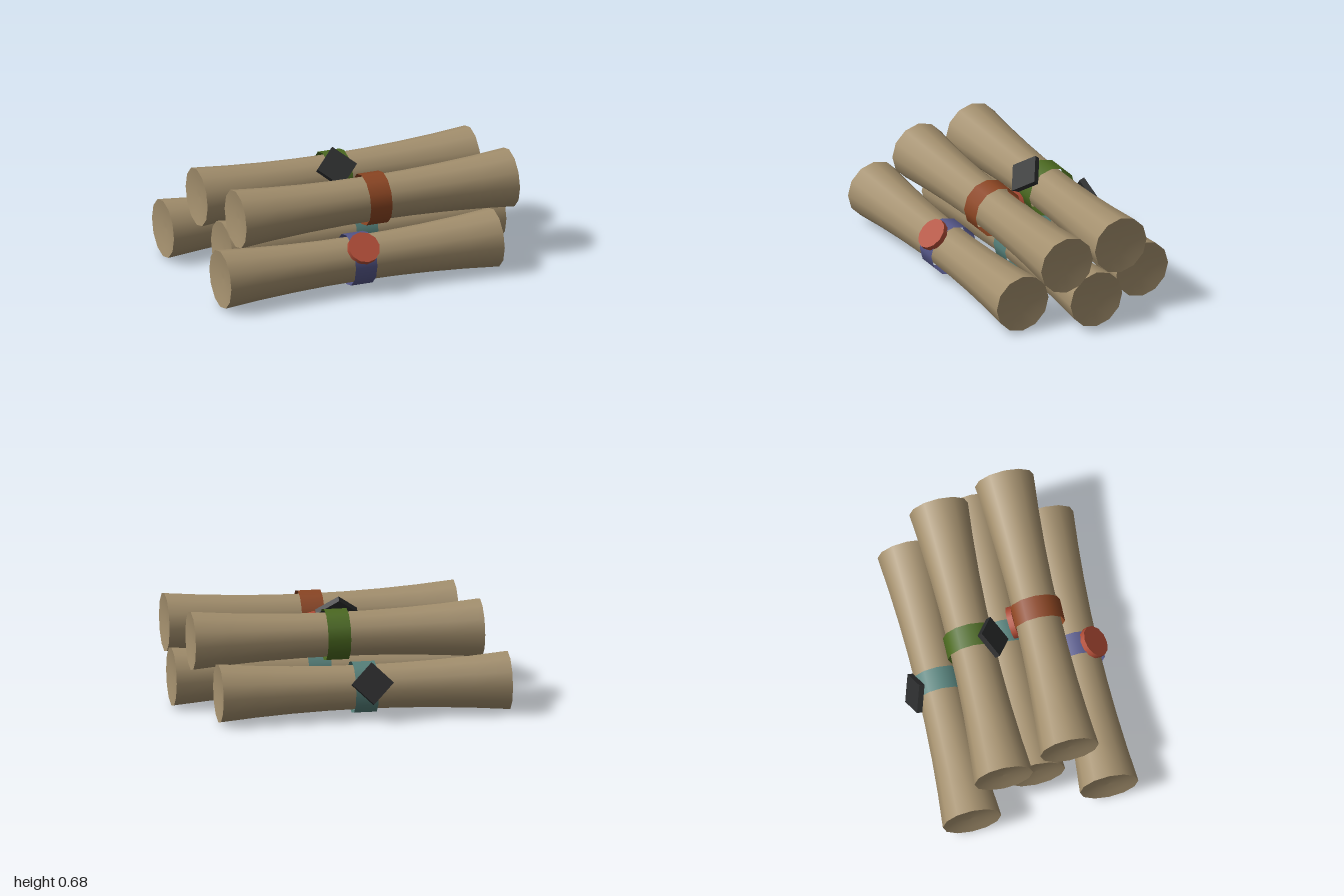
import * as THREE from 'three';
import { mergeGeometries } from 'three/addons/utils/BufferGeometryUtils.js';

const mat = (name, color) => {
  const m = new THREE.MeshStandardMaterial({ color });
  m.name = name;
  return m;
};

export function createModel() {
  const parchment = mat('parchment', 0xa38f6d);
  const indigo = mat('indigo', 0x555789);
  const teal = mat('teal', 0x55807a);
  const rust = mat('rust', 0x8b4522);
  const green = mat('green', 0x4b6920);
  const redWax = mat('red wax', 0xb04c36);
  const blackWax = mat('black wax', 0x2c2d2e);
  // The ribbons are thin open rings
  for (const m of [indigo, teal, rust, green]) m.side = THREE.DoubleSide;

  const HALF = 0.892, SIDES = 12, END_R = 0.182, WAIST_R = 0.138, DISH = 0.02;

  // Rolled sheet: wall pinched towards the middle
  const wallPoints = [];
  for (let i = -4; i <= 4; i++) {
    const t = i / 4;
    wallPoints.push(new THREE.Vector2(WAIST_R + (END_R - WAIST_R) * t * t, t * HALF));
  }
  const wall = new THREE.LatheGeometry(wallPoints, SIDES);

  // Slightly dished end, used at both ends
  const capPoints = [1, 0.67, 0.33, 0].map(
    (t) => new THREE.Vector2(END_R * t, HALF - DISH * (1 - t * t)));
  const cap = new THREE.LatheGeometry(capPoints, SIDES);
  const rollGeo = mergeGeometries([wall, cap, cap.clone().rotateZ(Math.PI)]).rotateZ(Math.PI / 2);

  // Ribbon around the waist
  const bandGeo = new THREE.CylinderGeometry(0.16, 0.16, 0.14, SIDES, 1, true).rotateZ(Math.PI / 2);

  // Wax seals, facing +y before they are turned around the roll
  const roundSeal = new THREE.CylinderGeometry(0.1, 0.1, 0.035, 12);
  const squareSeal = new THREE.BoxGeometry(0.182, 0.035, 0.182).rotateY(Math.PI / 4);

  const group = new THREE.Group();
  group.name = 'scrollPile';

  const add = (parent, name, geo, material) => {
    const mesh = new THREE.Mesh(geo, material);
    mesh.name = name;
    parent.add(mesh);
    return mesh;
  };

  function addScroll(name, [x, y, z], band) {
    const scroll = new THREE.Group();
    scroll.name = name;
    scroll.position.set(x, y, z);
    add(scroll, 'roll', rollGeo, parchment);
    add(scroll, 'ribbon', bandGeo, band);
    group.add(scroll);
    return scroll;
  }

  // angle: direction of the seal around x, from +y (0) towards +z (90)
  function addSeal(scroll, round, angle) {
    const seal = round
      ? add(scroll, 'roundSeal', roundSeal, redWax)
      : add(scroll, 'squareSeal', squareSeal, blackWax);
    const a = THREE.MathUtils.degToRad(angle);
    const d = round ? 0.152 : 0.17;
    seal.position.set(round ? 0 : -0.03, d * Math.cos(a), d * Math.sin(a));
    seal.rotation.x = a;
  }

  // Bottom row
  addSeal(addScroll('frontScroll', [-0.074, 0.184, 0.446], indigo), true, 45);
  addScroll('middleScroll', [0.101, 0.184, 0.03], teal);
  addSeal(addScroll('backScroll', [-0.108, 0.184, -0.415], teal), false, -70);
  // Top row
  addSeal(addScroll('upperFrontScroll', [0.107, 0.471, 0.24], rust), true, -103);
  addSeal(addScroll('upperBackScroll', [0.022, 0.461, -0.188], green), false, 49.5);

  return group;
}
